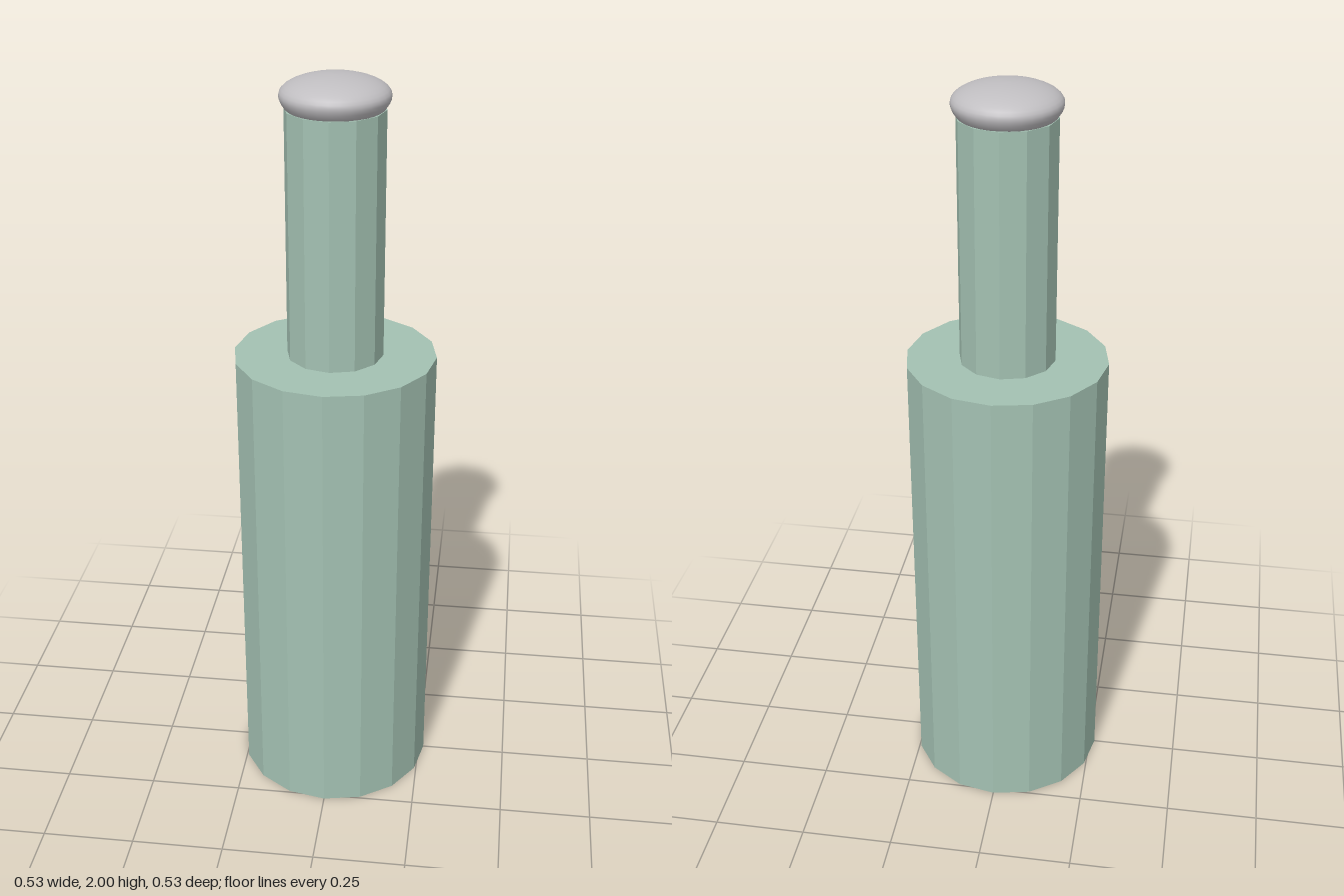
import * as THREE from 'three';

export function createModel() {
  const green = new THREE.MeshStandardMaterial({ color: 0xa3c1b2 });
  green.name = 'sage green';
  green.flatShading = true;
  const grey = new THREE.MeshStandardMaterial({ color: 0xc0bec1 });
  grey.name = 'light grey';

  const model = new THREE.Group();
  model.name = 'bottle';
  const add = (name, geometry, material, y = 0) => {
    const mesh = new THREE.Mesh(geometry, material);
    mesh.name = name;
    mesh.position.y = y;
    model.add(mesh);
  };

  // Faceted body and neck
  add('body', new THREE.CylinderGeometry(0.265, 0.265, 1.275, 16), green, 0.6375);
  add('neck', new THREE.CylinderGeometry(0.126, 0.126, 0.643, 12), green, 1.5965);

  // Rounded cap: underside tucked in to the neck, then a low elliptical dome
  const profile = [[0, 1.913], [0.115, 1.914], [0.124, 1.921], [0.132, 1.933], [0.136, 1.943]]
    .map(([r, y]) => new THREE.Vector2(r, y));
  const steps = 10;
  for (let i = 0; i <= steps; i++) {
    const a = (i / steps) * Math.PI / 2;
    profile.push(new THREE.Vector2(i === steps ? 0 : 0.137 * Math.cos(a), 1.951 + 0.049 * Math.sin(a)));
  }
  add('cap', new THREE.LatheGeometry(profile, 32), grey);

  return model;
}
